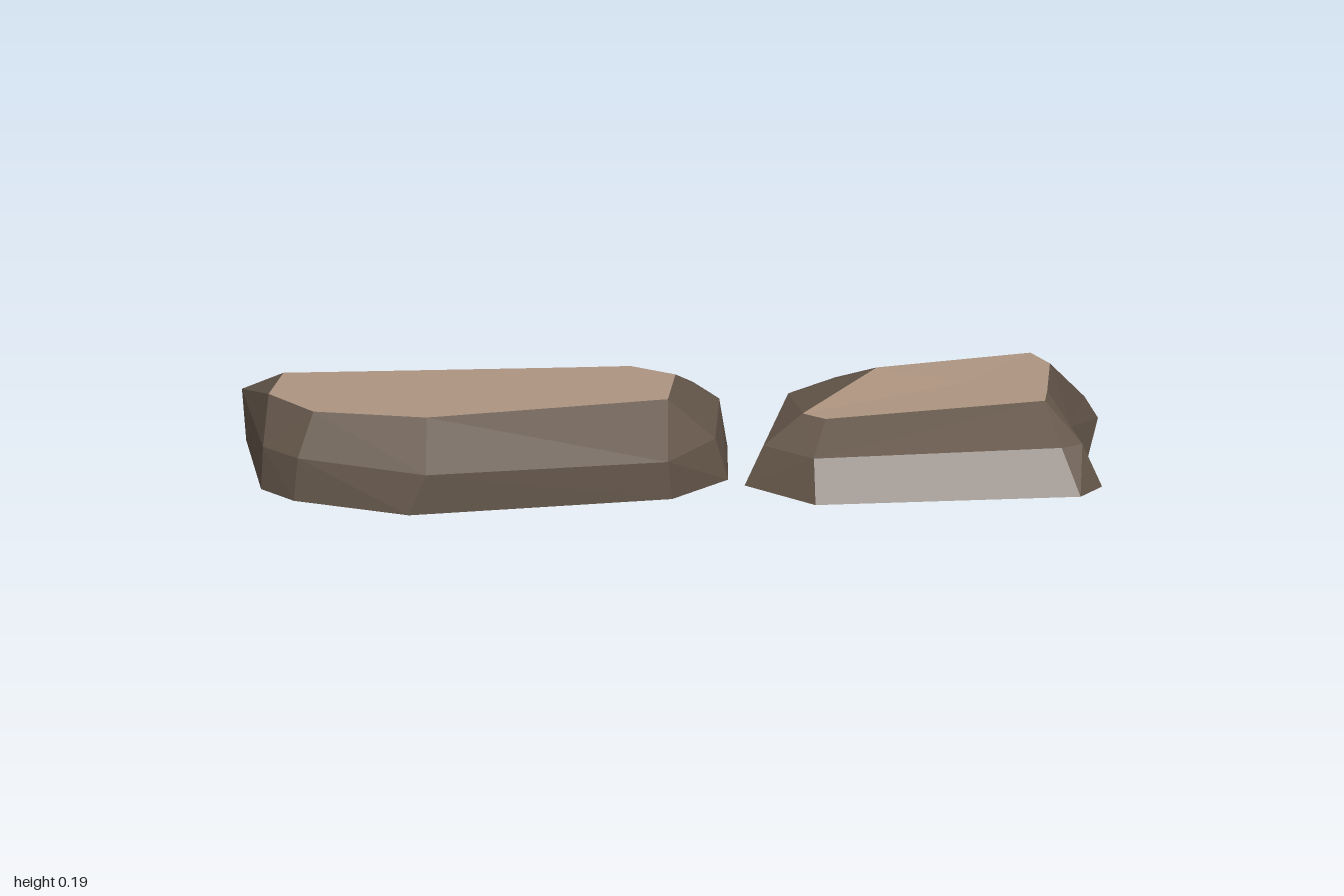
import * as THREE from 'three';

const rock = new THREE.MeshStandardMaterial({ color: 0x64564a });
const paleTop = new THREE.MeshStandardMaterial({ color: 0xad9480 });
const darkChip = new THREE.MeshStandardMaterial({ color: 0x352d27 });
rock.name = 'brownRock';
paleTop.name = 'paleTop';
darkChip.name = 'darkChip';

const V = (x, y, z) => new THREE.Vector3(x, y, z);

// Flat-shaded mesh from a list of triangles
function facets(name, tris, material) {
  const geo = new THREE.BufferGeometry().setFromPoints(tris.flat());
  geo.computeVertexNormals();
  const mesh = new THREE.Mesh(geo, material);
  mesh.name = name;
  return mesh;
}

// Quad split along the diagonal that bulges outward
function quad(a, b, c, d) {
  const n = b.clone().sub(a).cross(c.clone().sub(a));
  const bulges = n.dot(d.clone().sub(a)) <= 0;
  return (bulges ? [[a, b, c], [a, c, d]] : [[a, b, d], [b, c, d]])
    .filter(([p, q, r]) => q.clone().sub(p).cross(r.clone().sub(p)).length() > 1e-6);
}

// Cap over a ring, fanned from its centre
function cap(ring, up) {
  const centre = ring.reduce((s, p) => s.add(p), V(0, 0, 0)).divideScalar(ring.length);
  return ring
    .map((p, i) => [p, ring[(i + 1) % ring.length]])
    .filter(([p, q]) => p.distanceTo(q) > 1e-4)
    .map(([p, q]) => (up ? [centre, q, p] : [centre, p, q]));
}

// Stone from columns of ground (x, z), shoulder (x, y, z) and rim (x, y, z)
function stone(name, columns) {
  const rings = [
    columns.map(([g]) => V(g[0], 0, g[1])),
    columns.map(([, m]) => V(...m)),
    columns.map(([, , t]) => V(...t)),
  ];
  const sides = cap(rings[0], false);
  for (let k = 0; k < 2; k++) {
    columns.forEach((_, i) => {
      const j = (i + 1) % columns.length;
      sides.push(...quad(rings[k][j], rings[k][i], rings[k + 1][i], rings[k + 1][j]));
    });
  }
  const group = new THREE.Group();
  group.name = name;
  group.add(facets(name + 'Body', sides, rock), facets(name + 'Top', cap(rings[2], true), paleTop));
  return group;
}

// Thin three-pointed chip lying on the back slope of the large stone
function chip(x, z, size) {
  const shape = new THREE.Shape([
    [-0.1, 0.75], [-0.15, 0.1], [-0.5, -0.35], [0, -0.15], [0.65, -0.25], [0.15, 0.1],
  ].map(([u, v]) => new THREE.Vector2(u * size, v * size)));
  const geo = new THREE.ShapeGeometry(shape);
  geo.rotateX(-Math.PI / 2 - Math.atan(0.6));
  const mesh = new THREE.Mesh(geo, darkChip);
  mesh.name = 'chip';
  mesh.position.set(x, 0.195 + 0.6 * (z + 0.12) + 0.004, z);
  return mesh;
}

export function createModel() {
  const model = new THREE.Group();
  model.name = 'flatStones';
  const T = 0.195;

  const large = stone('largeStone', [
    [[-0.75, -0.405], [-0.75, 0.02, -0.405], [-0.70, T, -0.12]],
    [[-0.16, -0.30], [-0.16, 0.085, -0.30], [-0.25, T, -0.122]],
    [[0.065, -0.21], [0.05, 0.13, -0.205], [-0.10, T, -0.125]],
    [[0.125, -0.12], [0.105, 0.12, -0.10], [0, T, -0.05]],
    [[0.11, 0.16], [0.08, 0.10, 0.16], [-0.03, T, 0.15]],
    [[-0.03, 0.31], [-0.04, 0.09, 0.31], [-0.03, T, 0.15]],
    [[-0.65, 0.405], [-0.61, 0.095, 0.40], [-0.60, T, 0.265]],
    [[-0.91, 0.27], [-0.90, 0.10, 0.26], [-0.86, T, 0.20]],
    [[-0.98, 0.17], [-0.975, 0.10, 0.16], [-0.955, T, 0.05]],
    [[-0.99, -0.23], [-1, 0.125, -0.23], [-0.91, T, -0.12]],
    [[-0.93, -0.34], [-0.93, 0.06, -0.34], [-0.91, T, -0.12]],
  ]);
  large.add(chip(-0.87, -0.26, 0.08), chip(-0.82, -0.148, 0.035));

  const small = stone('smallStone', [
    [[0.36, -0.28], [0.385, 0.12, -0.255], [0.475, 0.175, -0.145]],
    [[0.85, -0.35], [0.84, 0.155, -0.29], [0.84, 0.173, -0.25]],
    [[0.93, -0.36], [0.93, 0.06, -0.34], [0.84, 0.173, -0.25]],
    [[1, -0.29], [0.97, 0.045, -0.315], [0.88, 0.173, -0.16]],
    [[0.95, 0.08], [0.915, 0.09, 0.08], [0.86, 0.172, 0.06]],
    [[0.975, 0.27], [0.93, 0.10, 0.255], [0.85, 0.172, 0.14]],
    [[0.92, 0.35], [0.88, 0.10, 0.285], [0.85, 0.172, 0.14]],
    [[0.30, 0.38], [0.30, 0.095, 0.32], [0.335, 0.152, 0.19]],
    [[0.145, 0.21], [0.19, 0.09, 0.19], [0.285, 0.15, 0.135]],
    [[0.25, -0.18], [0.27, 0.11, -0.165], [0.475, 0.175, -0.145]],
  ]);

  model.add(large, small);
  return model;
}
